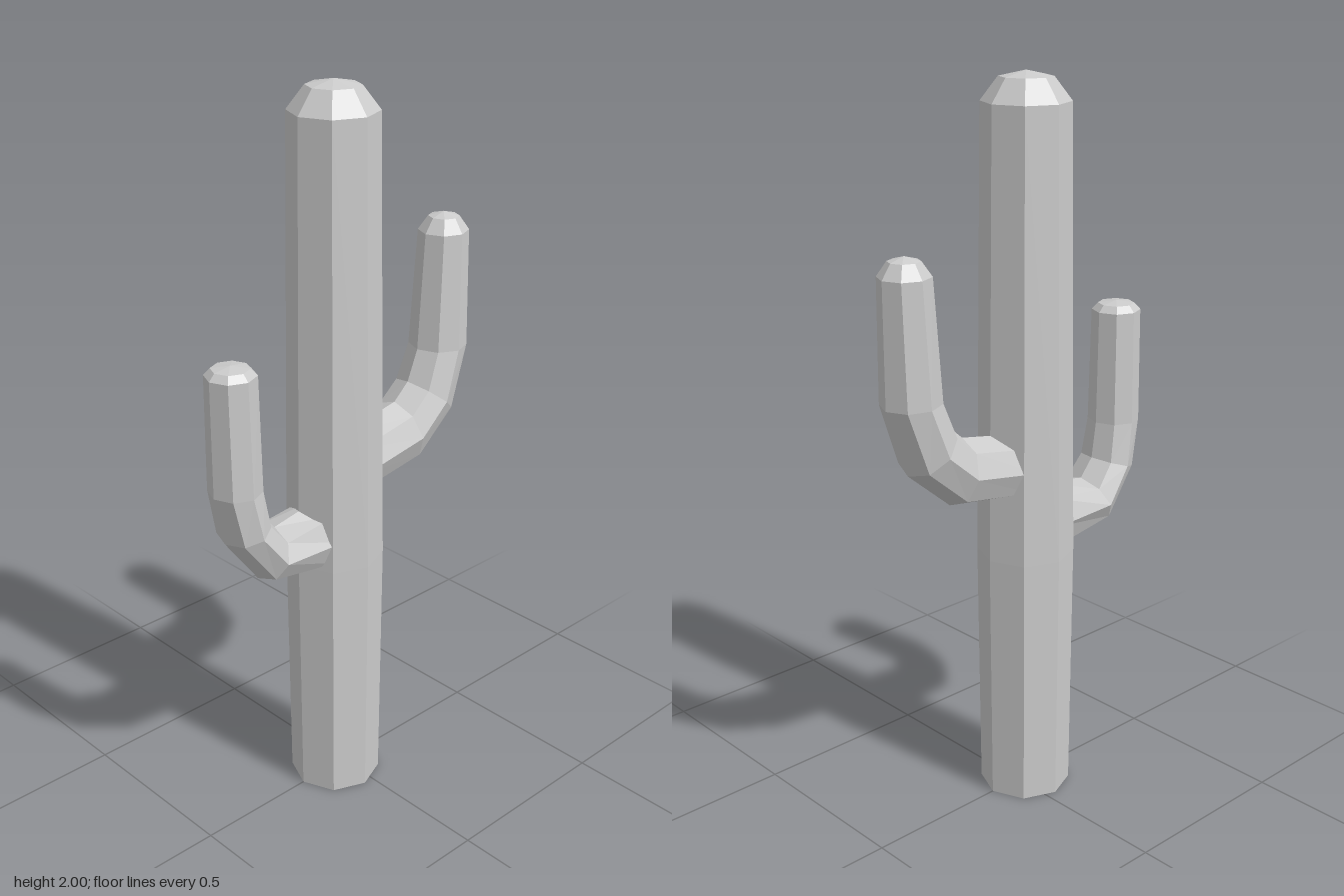
import * as THREE from 'three';

const SIDES = 8;
const material = new THREE.MeshStandardMaterial({ color: 0xcccccc, flatShading: true, side: THREE.DoubleSide });

// Skins octagonal rings lying across the z-y plane.
// Each ring: [outer z, outer y, inner z, inner y, half width in x]
function loft(rings, side) {
  const positions = [];
  const index = [];
  rings.forEach(([oz, oy, iz, iy, rx], i) => {
    for (let j = 0; j < SIDES; j++) {
      const a = (j / SIDES) * Math.PI * 2;
      const s = Math.sin(a) / 2;
      positions.push(
        side * rx * Math.cos(a),
        (oy + iy) / 2 + (oy - iy) * s,
        side * ((oz + iz) / 2 + (oz - iz) * s)
      );
      if (i === rings.length - 1) continue;
      const k = (j + 1) % SIDES;
      const p = i * SIDES + j, q = i * SIDES + k;
      index.push(p, p + SIDES, q, q, p + SIDES, q + SIDES);
    }
  });
  const geometry = new THREE.BufferGeometry();
  geometry.setAttribute('position', new THREE.Float32BufferAttribute(positions, 3));
  geometry.setIndex(index);
  const flat = geometry.toNonIndexed();
  flat.computeVertexNormals();
  return flat;
}

// Adds the rounded tip: a narrower ring and a closing point
function withTip(rings, shoulder, top, r) {
  const [oz, , iz] = rings[rings.length - 1];
  const z = (oz + iz) / 2;
  return [...rings, [z + r, shoulder, z - r, shoulder, r], [z, top, z, top, 0]];
}

export function createModel() {
  const group = new THREE.Group();
  const add = (name, geometry) => {
    const mesh = new THREE.Mesh(geometry, material);
    mesh.name = name;
    group.add(mesh);
    return mesh;
  };

  // Trunk: open at the base, domed at the top
  const profile = [[0.126, 0], [0.132, 0.72], [0.116, 1.925], [0.07, 1.985], [0, 2]];
  const trunk = add('trunk', new THREE.LatheGeometry(
    profile.map(([r, y]) => new THREE.Vector2(r, y)), SIDES));
  trunk.position.z = 0.03;

  // Lower arm, reaching forward then up
  add('frontArm', loft(withTip([
    [0.08, 0.695, 0.08, 0.9, 0.09],
    [0.305, 0.74, 0.245, 0.87, 0.09],
    [0.41, 0.88, 0.287, 0.92, 0.082],
    [0.441, 1.02, 0.302, 1.02, 0.073],
    [0.441, 1.335, 0.307, 1.335, 0.067],
  ], 1.353, 1.36, 0.05), 1));

  // Upper arm, reaching backward then up (z mirrored)
  add('backArm', loft(withTip([
    [0.01, 0.885, 0.01, 1.06, 0.09],
    [0.24, 0.92, 0.195, 1.095, 0.09],
    [0.376, 1.035, 0.245, 1.14, 0.088],
    [0.44, 1.22, 0.28, 1.225, 0.08],
    [0.44, 1.545, 0.302, 1.545, 0.068],
  ], 1.583, 1.595, 0.042), -1));

  return group;
}
